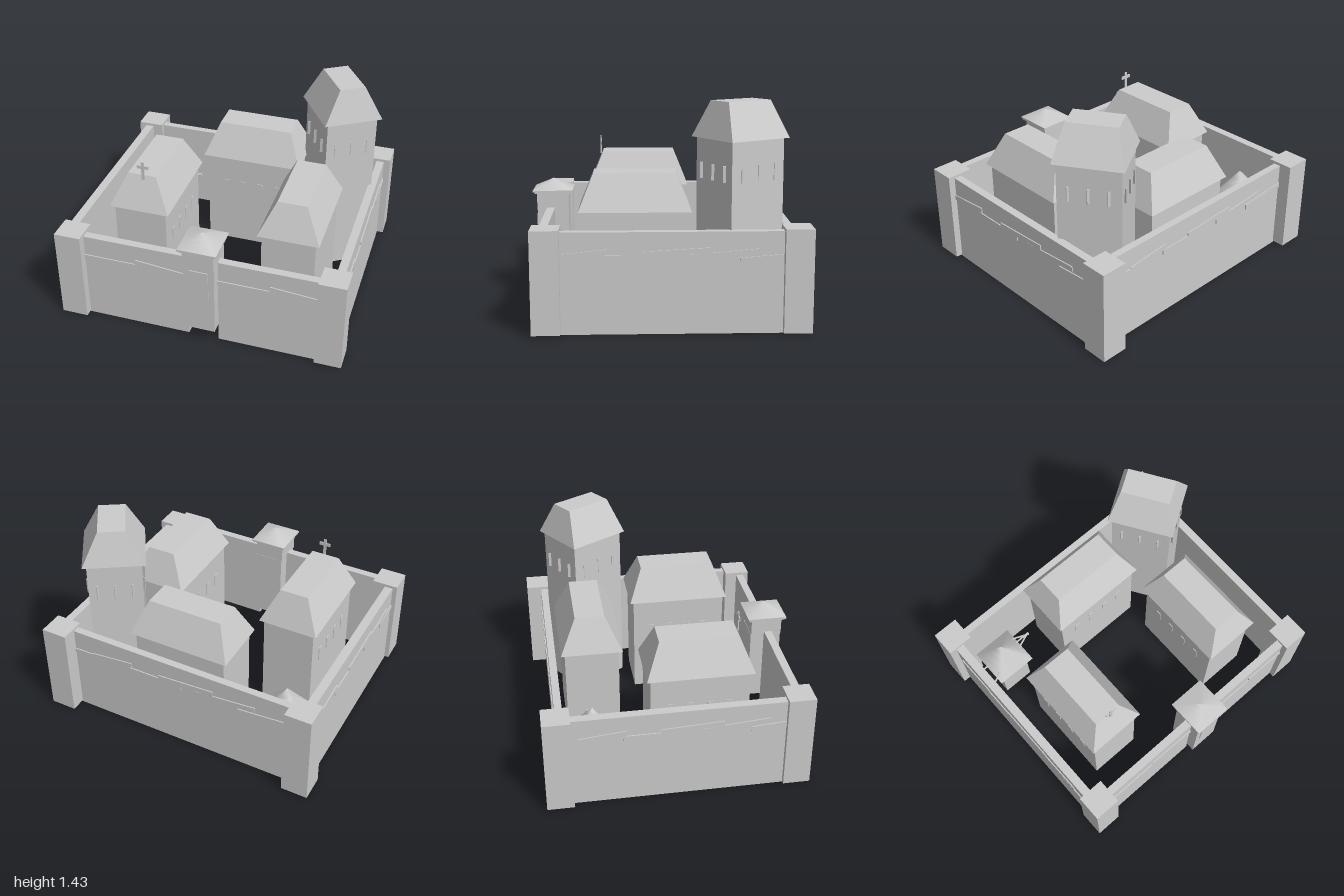
import * as THREE from 'three';

const mat = new THREE.MeshStandardMaterial({ color: 0xcccccc, side: THREE.DoubleSide });

function add(parent, name, geo, x = 0, y = 0, z = 0) {
  const mesh = new THREE.Mesh(geo, mat);
  mesh.name = name;
  mesh.position.set(x, y, z);
  parent.add(mesh);
  return mesh;
}

// Box given by its limits
function block(parent, name, x0, x1, y0, y1, z0, z1, open = false) {
  const geo = new THREE.BoxGeometry(x1 - x0, y1 - y0, z1 - z0);
  if (open) { // leave out the bottom face
    const idx = Array.from(geo.index.array);
    idx.splice(18, 6);
    geo.setIndex(idx);
    geo.clearGroups();
  }
  return add(parent, name, geo, (x0 + x1) / 2, (y0 + y1) / 2, (z0 + z1) / 2);
}

// Hipped roof: a box whose top is drawn in to a smaller rectangle
function hipRoof(parent, name, w, d, topW, topD, y0, y1) {
  const geo = new THREE.BoxGeometry(w, y1 - y0, d);
  const p = geo.attributes.position;
  for (let i = 0; i < p.count; i++) {
    if (p.getY(i) > 0) {
      p.setX(i, Math.sign(p.getX(i)) * topW / 2);
      p.setZ(i, Math.sign(p.getZ(i)) * topD / 2);
    }
  }
  geo.computeVertexNormals();
  return add(parent, name, geo, 0, (y0 + y1) / 2, 0);
}

// Smooth four-sided pyramid roof
function pyramid(parent, name, w, d, y0, y1, x, z) {
  const geo = new THREE.ConeGeometry(Math.SQRT1_2, 1, 4, 4);
  geo.rotateY(Math.PI / 4);
  geo.scale(w, y1 - y0, d);
  return add(parent, name, geo, x, (y0 + y1) / 2, z);
}

// Round pole between two points
function pole(parent, name, a, b, r = 0.007) {
  const path = new THREE.LineCurve3(new THREE.Vector3(...a), new THREE.Vector3(...b));
  return add(parent, name, new THREE.TubeGeometry(path, 1, r, 8), 0, 0, 0);
}

// House with an open base, hipped roof and optional side windows
function house(parent, name, x, z, w, d, windowSides = []) {
  const g = new THREE.Group();
  g.name = name;
  g.position.set(x, 0, z);
  parent.add(g);
  const bw = w / 2 - 0.027, bd = d / 2 - 0.027;
  block(g, 'houseWalls', -bw, bw, 0, 0.73, -bd, bd, true);
  hipRoof(g, 'houseRoof', w, d, w - 0.22, d - 0.19, 0.73, 0.965);
  for (const s of windowSides) {
    for (let i = -1.5; i <= 1.5; i++) {
      add(g, 'houseWindow', new THREE.BoxGeometry(0.01, 0.1, 0.04), s * bw, 0.48, i * 0.13);
    }
  }
  return g;
}

// Ledge strips along one wall: [start, end, height at start, height at end]
function ledges(parent, strips, place) {
  for (const [a, b, ya, yb] of strips) {
    const geo = new THREE.BoxGeometry(b - a, 0.036, 0.016);
    const p = geo.attributes.position;
    for (let i = 0; i < p.count; i++) {
      p.setY(i, p.getY(i) + (p.getX(i) < 0 ? ya : yb));
    }
    geo.computeVertexNormals();
    geo.translate((a + b) / 2, 0, 0);
    place(add(parent, 'wallLedge', geo));
  }
}

export function createModel() {
  const root = new THREE.Group();
  root.name = 'walledCourtyard';

  // Curtain walls, with a gap under the gatehouse
  block(root, 'frontWallRight', -0.9, -0.065, 0, 0.65, 0.745, 0.8);
  block(root, 'frontWallLeft', 0.145, 0.9, 0, 0.65, 0.745, 0.8);
  block(root, 'backWall', -0.9, 0.9, 0, 0.65, -0.8, -0.75);
  block(root, 'rightWall', -0.95, -0.89, 0, 0.65, -0.8, 0.76);
  block(root, 'leftWall', 0.895, 0.95, 0, 0.65, -0.8, 0.76);

  // Corner posts
  for (const [x, z] of [[-0.89, 0.77], [0.905, 0.75], [-0.91, -0.8], [0.905, -0.815]]) {
    block(root, 'cornerPost', x - 0.092, x + 0.092, 0.01, 0.67, z - 0.09, z + 0.09, true);
  }

  // Stepped ledges on the outer wall faces
  ledges(root, [
    [-0.8, -0.39, 0.487, 0.487], [-0.43, -0.07, 0.523, 0.488],
    [0.14, 0.525, 0.487, 0.487], [0.495, 0.82, 0.523, 0.497],
  ], m => m.position.set(0, 0, 0.8));
  const long = [
    [-0.67, -0.355, 0.495, 0.527], [-0.38, 0.03, 0.487, 0.487], [-0.145, 0.27, 0.51, 0.533],
    [0.135, 0.575, 0.487, 0.525], [0.45, 0.72, 0.467, 0.488],
  ];
  ledges(root, long, m => { m.position.x = 0.95; m.rotation.y = Math.PI / 2; });
  ledges(root, long, m => { m.position.x = -0.95; m.rotation.y = -Math.PI / 2; });
  ledges(root, long.concat([[-0.82, -0.65, 0.487, 0.487], [0.7, 0.82, 0.488, 0.495]]),
    m => { m.position.z = -0.8; m.rotation.y = Math.PI; });

  // Gatehouse
  const gate = new THREE.Group();
  gate.name = 'gatehouse';
  root.add(gate);
  block(gate, 'gateBody', -0.07, 0.14, 0.115, 0.63, 0.65, 0.865, true);
  block(gate, 'gateUpperStorey', -0.075, 0.138, 0.63, 0.75, 0.652, 0.868);
  block(gate, 'gatePanel', -0.03, 0.1, 0.38, 0.6, 0.86, 0.872);
  block(gate, 'gateCornice', -0.09, 0.155, 0.745, 0.757, 0.635, 0.885);
  block(gate, 'gateEaves', -0.1, 0.163, 0.757, 0.77, 0.622, 0.895);
  pyramid(gate, 'gateRoof', 0.263, 0.273, 0.77, 0.84, 0.032, 0.758);

  // Houses round the yard; the chapel carries a cross
  const chapel = house(root, 'chapel', -0.51, 0.163, 0.42, 0.717, [-1, 1]);
  add(chapel, 'crossUpright', new THREE.BoxGeometry(0.02, 0.135, 0.008), 0.015, 1.008, 0.28);
  add(chapel, 'crossArm', new THREE.BoxGeometry(0.08, 0.023, 0.008), 0.015, 1.037, 0.28);
  house(root, 'sideHouse', 0.54, 0.195, 0.42, 0.72, [-1]);
  const backHouse = house(root, 'backHouse', 0.04, -0.51, 0.42, 0.72, [1]);
  backHouse.rotation.y = -Math.PI / 2;

  // Tall tower, turned to the yard
  const turn = 0.57;
  const tower = new THREE.Group();
  tower.name = 'tower';
  tower.position.set(0.65, 0, -0.475);
  tower.rotation.y = turn;
  root.add(tower);
  block(tower, 'towerWalls', -0.181, 0.181, 0, 1.195, -0.208, 0.208, true);
  hipRoof(tower, 'towerRoof', 0.417, 0.459, 0.182, 0.336, 1.195, 1.43);
  // Narrow window slats, square to the outer walls
  for (const s of [-1, 1]) {
    for (const t of [-0.13, 0, 0.13]) {
      const a = add(tower, 'towerWindow', new THREE.BoxGeometry(0.034, 0.105, 0.005), s * 0.181, 0.988, t);
      const b = add(tower, 'towerWindow', new THREE.BoxGeometry(0.005, 0.105, 0.034), t * 0.9, 0.988, s * 0.208);
      a.rotation.y = b.rotation.y = -turn;
    }
  }

  // Small shelter with poles in the back corner
  const shed = new THREE.Group();
  shed.name = 'shelter';
  root.add(shed);
  block(shed, 'shelterWalls', -0.8, -0.575, 0, 0.34, -0.665, -0.435, true);
  pyramid(shed, 'shelterRoof', 0.295, 0.3, 0.34, 0.56, -0.687, -0.55);
  pole(shed, 'shelterPole', [-0.6, 0.37, -0.625], [-0.44, 0.36, -0.562]);
  pole(shed, 'shelterPole', [-0.6, 0.37, -0.51], [-0.44, 0.36, -0.575]);
  pole(shed, 'shelterPole', [-0.89, 0.34, -0.572], [-0.44, 0.37, -0.57]);
  pole(shed, 'shelterPole', [-0.88, 0.33, -0.435], [-0.78, 0.4, -0.465]);

  return root;
}
